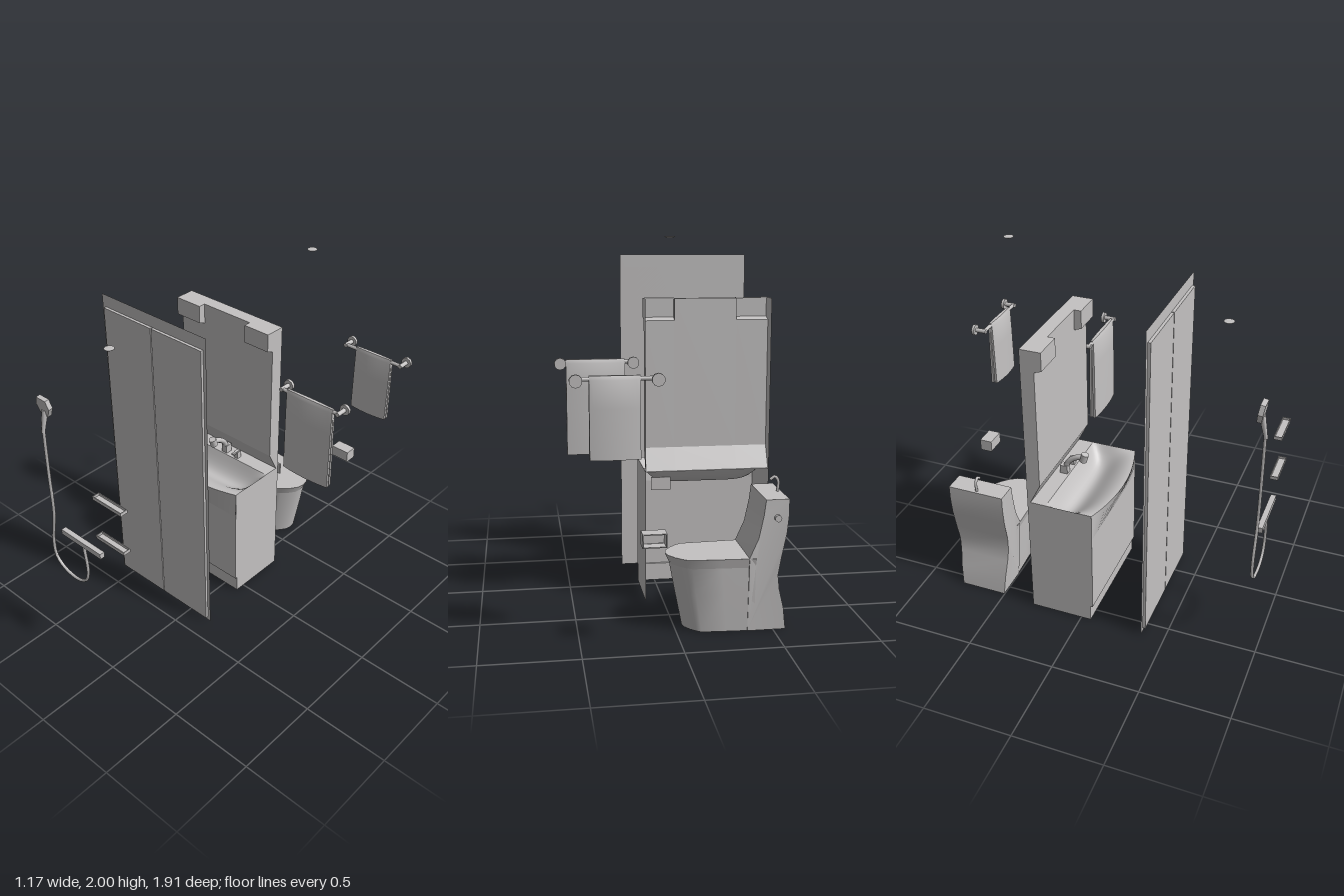
import * as THREE from 'three';
import { toCreasedNormals } from 'three/addons/utils/BufferGeometryUtils.js';

const grey = new THREE.MeshStandardMaterial({ color: 0xc4c2c2, side: THREE.DoubleSide });
grey.name = 'grey';
const V = (x, y, z) => new THREE.Vector3(x, y, z);

export function createModel() {
  const root = new THREE.Group();

  const add = (name, geo, parent = root) => {
    const m = new THREE.Mesh(geo, grey);
    m.name = name;
    parent.add(m);
    return m;
  };
  const group = (name) => {
    const g = new THREE.Group();
    g.name = name;
    root.add(g);
    return g;
  };
  // box given by its limits
  const box = (name, x0, x1, y0, y1, z0, z1, parent) =>
    add(name, new THREE.BoxGeometry(x1 - x0, y1 - y0, z1 - z0)
      .translate((x0 + x1) / 2, (y0 + y1) / 2, (z0 + z1) / 2), parent);
  const tube = (name, pts, r, parent, sides = 8, n = 30) =>
    add(name, new THREE.TubeGeometry(new THREE.CatmullRomCurve3(pts), n, r, sides), parent);
  // surface from a rule over u, v in 0..1
  const sheet = (nu, nv, rule, flat) => {
    let g = new THREE.PlaneGeometry(1, 1, nu, nv);
    const p = g.attributes.position;
    for (let i = 0; i < p.count; i++) p.setXYZ(i, ...rule(p.getX(i) + 0.5, p.getY(i) + 0.5));
    if (flat) g = g.toNonIndexed();
    g.computeVertexNormals();
    return g;
  };
  // folded strip: [z, y] profile carried from x0 to x1
  const strip = (prof, x0, x1) => sheet(1, prof.length - 1, (u, v) => {
    const [z, y] = prof[Math.round(v * (prof.length - 1))];
    return [x0 + (x1 - x0) * u, y, z];
  }, true);
  const shapeOf = (pts) => new THREE.Shape(pts.map(([a, b]) => new THREE.Vector2(a, b)));
  // flat side wall from a [z, y] outline
  const sideWall = (pts, x) =>
    new THREE.ShapeGeometry(shapeOf(pts.map(([z, y]) => [-z, y]))).rotateY(Math.PI / 2).translate(x, 0, 0);

  // shower door
  const door = group('showerDoor');
  add('doorScreen', new THREE.PlaneGeometry(0.75, 1.895).translate(-0.215, 0.9475, 0.366), door);
  box('doorLeafRight', -0.566, -0.216, 0.023, 1.825, 0.366, 0.382, door);
  box('doorLeafLeft', -0.21, 0.14, 0.023, 1.825, 0.366, 0.382, door);

  // hand shower, hose, mixer
  const shower = group('shower');
  const head = new THREE.ExtrudeGeometry(shapeOf([[-0.025, 0], [0.025, 0], [0.05, 0.055], [0.035, 0.105],
    [-0.035, 0.105], [-0.05, 0.055]]), { depth: 0.026, bevelEnabled: false });
  head.rotateX(-0.08);
  head.rotateX(0.22).translate(-0.457, 1.455, 0.893);
  add('showerHead', head, shower);
  add('showerHandle', new THREE.CylinderGeometry(0.018, 0.01, 0.13, 8).rotateX(-0.22)
    .translate(-0.457, 1.42, 0.928), shower);
  tube('hose', [V(-0.457, 1.4, 0.938), V(-0.457, 1.1, 0.94), V(-0.457, 0.82, 0.94), V(-0.49, 0.62, 0.94),
    V(-0.478, 0.51, 0.94), V(-0.41, 0.455, 0.94), V(-0.31, 0.44, 0.94), V(-0.24, 0.47, 0.94),
    V(-0.21, 0.54, 0.94), V(-0.224, 0.73, 0.94)], 0.009, shower, 6, 50);
  box('mixerBar', -0.387, -0.073, 0.73, 0.762, 0.925, 0.955, shower);

  // small tray shelves
  for (const y of [0.87, 1.124]) {
    const s = group('showerShelf');
    box('shelfBase', -0.087, 0.124, y, y + 0.006, 0.912, 0.957, s);
    box('shelfFront', -0.087, 0.124, y, y + 0.02, 0.953, 0.957, s);
    box('shelfBack', -0.087, 0.124, y, y + 0.02, 0.912, 0.916, s);
    box('shelfEnd', -0.087, -0.083, y, y + 0.02, 0.912, 0.957, s);
    box('shelfEnd', 0.12, 0.124, y, y + 0.02, 0.912, 0.957, s);
  }

  // ceiling lights
  for (const [x, y, z] of [[-0.213, 1.828, 0.663], [0.022, 2, -0.637]]) {
    add('ceilingLight', new THREE.LatheGeometry([[0, -0.011], [0.015, -0.009], [0.027, -0.003], [0.027, 0], [0, 0]]
      .map(([a, b]) => new THREE.Vector2(a, b)), 24).translate(x, y, z));
  }

  // vanity cabinet, open at back and bottom
  const X0 = -0.585, X1 = 0.097, XC = (X0 + X1) / 2, XW = (X1 - X0) / 2;
  const vanity = group('vanity');
  const cabinetSide = [[-0.303, 0], [0.058, 0], [0.058, 0.1], [0.072, 0.1], [0.072, 0.74], [-0.303, 0.74]];
  for (const x of [X0, X1]) add('cabinetSide', sideWall(cabinetSide, x), vanity);
  add('cabinetFront', strip([[0.058, 0], [0.058, 0.1], [0.072, 0.1], [0.072, 0.6]], X0, X1), vanity);
  const bulge = (u) => 0.072 + 0.06 * (1 - (2 * u - 1) ** 2);
  add('basinFront', sheet(16, 1, (u, v) =>
    [X0 + 2 * XW * u, 0.58 + 0.16 * v, v ? bulge(u) : 0.073]), vanity);
  add('basinBowl', sheet(32, 20, (u, v) => {
    const side = 1 - Math.abs(2 * u - 1) ** 6;
    const dip = Math.sin(Math.PI * Math.pow(v, 1.9)) * 0.105 * side;
    return [X0 + 2 * XW * u, 0.74 - dip, bulge(u) + (-0.195 - bulge(u)) * v];
  }), vanity);
  add('basinDeck', strip([[-0.195, 0.74], [-0.303, 0.74]], X0, X1), vanity);

  // basin tap and handle
  const tap = group('basinTap');
  box('tapBase', -0.265, -0.225, 0.74, 0.79, -0.25, -0.205, tap);
  tube('tapSpout', [V(-0.245, 0.77, -0.225), V(-0.245, 0.82, -0.2), V(-0.245, 0.853, -0.155),
    V(-0.245, 0.865, -0.115)], 0.016, tap, 10, 16);
  add('tapNozzle', new THREE.CylinderGeometry(0.022, 0.022, 0.05, 10).rotateX(0.3)
    .translate(-0.245, 0.862, -0.108), tap);
  box('tapHandleBase', -0.165, -0.137, 0.74, 0.785, -0.235, -0.205, tap);
  box('tapHandle', -0.158, -0.144, 0.775, 0.787, -0.235, -0.175, tap);

  // mirror cabinet shell with two corner hoods, open at the back
  const mirror = group('mirrorCabinet');
  const ZB = -0.303, ZM = -0.225, ZH = -0.183, XA = -0.41, XB = -0.07;
  const low = [[-0.285, 0.74], [ZM, 0.86]];
  const hood = [...low, [ZM, 1.555], [ZH, 1.57], [ZH, 1.675], [ZB, 1.675]];
  for (const x of [X0, X1]) add('mirrorSide', sideWall([[ZB, 0.74], ...hood], x), mirror);
  add('mirrorHoodRight', strip(hood, X0, XA), mirror);
  add('mirrorHoodLeft', strip(hood, XB, X1), mirror);
  add('mirrorFront', strip([...low, [ZM, 1.675], [ZB, 1.675]], XA, XB), mirror);
  for (const x of [XA, XB])
    add('hoodInnerSide', sideWall([[ZM, 1.555], [ZH, 1.57], [ZH, 1.675], [ZM, 1.675]], x), mirror);

  // flush plate
  box('flushPlate', -0.03, 0.077, 0.655, 0.725, -0.358, -0.348);

  // toilet, facing +x
  const toilet = group('toilet'), ZT = -0.638;
  const halfAt = (y) => (y < 0.4 ? 0.135 + 0.03 * y / 0.4 : 0.165);
  const tank = new THREE.ExtrudeGeometry(shapeOf([[-0.565, 0], [-0.55, 0.12], [-0.525, 0.22], [-0.515, 0.3],
    [-0.53, 0.4], [-0.555, 0.52], [-0.565, 0.62], [-0.565, 0.7], [-0.445, 0.7], [-0.435, 0.62], [-0.41, 0.5],
    [-0.365, 0.4], [-0.365, 0]]), { depth: 2, bevelEnabled: false }).translate(0, 0, -1);
  const tp = tank.attributes.position;
  for (let i = 0; i < tp.count; i++) tp.setZ(i, ZT + Math.sign(tp.getZ(i)) * halfAt(tp.getY(i)));
  add('cisternAndBack', toCreasedNormals(tank, 0.6), toilet);
  // bowl outline: distance along x and half-width
  const half = [[-0.4, 0.165], [-0.22, 0.156], [-0.06, 0.146], [-0.03, 0.125], [0.005, 0.09], [0.035, 0.045], [0.045, 0]];
  const rim = [...half, ...half.slice(0, -1).reverse().map(([x, z]) => [x, -z])];
  const rings = [[0, 0.8, 0.81], [0.2, 0.89, 0.885], [0.345, 0.95, 0.93], [0.395, 1, 1]];
  const ringPoint = (k, r) => {
    const [y, sx, sz] = rings[r];
    return [-0.4 + (rim[k][0] + 0.4) * sx, y, ZT + rim[k][1] * sz];
  };
  const n = rim.length - 1;
  add('bowl', toCreasedNormals(sheet(n, 2, (u, v) => ringPoint(Math.round(u * n), Math.round(v * 2))), 0.8), toilet);
  add('seat', toCreasedNormals(sheet(n, 1, (u, v) => ringPoint(Math.round(u * n), 2 + Math.round(v))), 0.8), toilet);
  add('seatLid', new THREE.ShapeGeometry(shapeOf(rim.map(([x, z]) => [x, -z]))).rotateX(-Math.PI / 2)
    .translate(0, 0.395, ZT), toilet);
  add('flushLever', new THREE.CylinderGeometry(0.018, 0.018, 0.02, 12).rotateX(Math.PI / 2)
    .translate(-0.505, 0.605, -0.813), toilet);
  tube('handWashSpout', [V(-0.545, 0.7, ZT), V(-0.548, 0.755, ZT), V(-0.53, 0.778, ZT), V(-0.505, 0.762, ZT)],
    0.008, toilet, 8, 16);

  // paper holder, a shell open at the back
  const paper = group('paperHolder');
  box('holderFront', 0.08, 0.2, 0.525, 0.592, -0.882, -0.877, paper);
  box('holderTop', 0.08, 0.2, 0.587, 0.592, -0.953, -0.877, paper);
  box('holderBottom', 0.08, 0.2, 0.52, 0.525, -0.945, -0.885, paper);
  box('holderEnd', 0.08, 0.085, 0.522, 0.592, -0.953, -0.877, paper);
  box('holderEnd', 0.195, 0.2, 0.522, 0.592, -0.953, -0.877, paper);

  // towel rails with a folded towel on each
  const towelRail = (xa, xb, zWall, t0, t1, yLow) => {
    const g = group('towelRail'), y = 1.34, zBar = zWall + 0.068;
    for (const x of [xa, xb]) {
      add('wallDisc', new THREE.CylinderGeometry(0.032, 0.032, 0.016, 10).rotateX(Math.PI / 2)
        .translate(x, y, zWall + 0.008), g);
      add('railPost', new THREE.CylinderGeometry(0.013, 0.013, 0.072, 10).rotateX(Math.PI / 2)
        .translate(x, y, zWall + 0.045), g);
    }
    add('railBar', new THREE.CylinderGeometry(0.011, 0.011, xb - xa, 10).rotateZ(Math.PI / 2)
      .translate((xa + xb) / 2, y, zBar), g);
    // inverted U section, thinner towards both ends
    const geo = new THREE.ExtrudeGeometry(shapeOf([[-0.03, yLow], [-0.025, 1.2], [-0.02, 1.335], [-0.01, 1.356],
      [0.01, 1.356], [0.02, 1.335], [0.025, 1.2], [0.03, yLow], [0.006, yLow], [0.003, 1.3],
      [-0.003, 1.3], [-0.006, yLow]]), { depth: 2, steps: 12, bevelEnabled: false }).translate(0, 0, -1);
    const p = geo.attributes.position;
    for (let i = 0; i < p.count; i++) {
      const u = p.getZ(i), z = p.getX(i) * (1 - 0.4 * u * u);
      p.setXYZ(i, (t0 + t1) / 2 + u * (t1 - t0) / 2, p.getY(i), zBar + z);
    }
    // swapping x and z mirrors the shape, so reverse the corners
    for (let i = 0; i < p.count; i += 3) {
      const a = V().fromBufferAttribute(p, i), b = V().fromBufferAttribute(p, i + 1);
      p.setXYZ(i, b.x, b.y, b.z);
      p.setXYZ(i + 1, a.x, a.y, a.z);
    }
    add('towel', toCreasedNormals(geo, 0.6), g);
  };
  towelRail(0.163, 0.55, -0.307, 0.203, 0.517, 0.842);
  towelRail(0.123, 0.51, -0.957, 0.2, 0.445, 0.953);

  return root;
}
